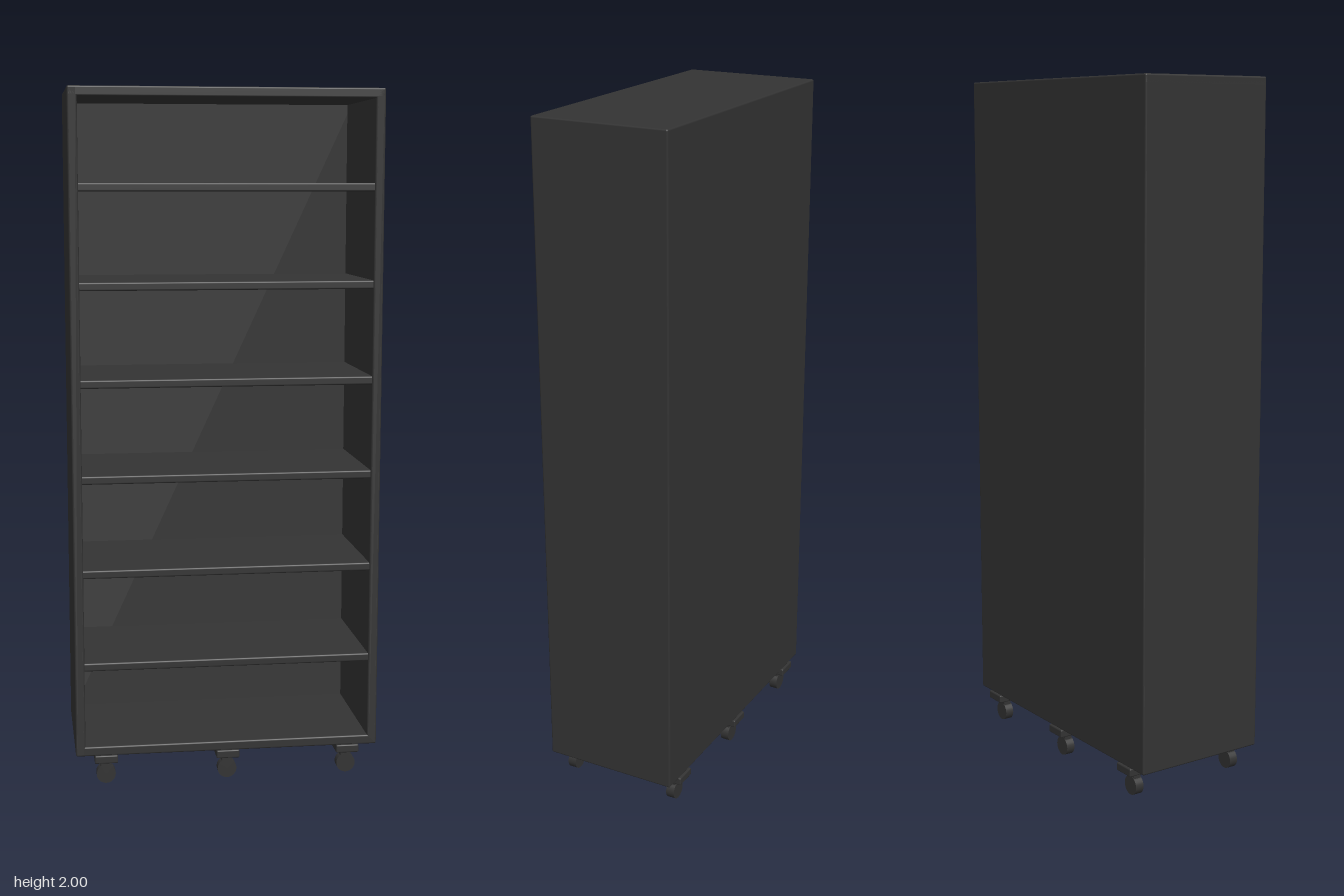
import * as THREE from 'three';
import { RoundedBoxGeometry } from 'three/addons/geometries/RoundedBoxGeometry.js';

export function createModel() {
  const model = new THREE.Group();
  model.name = 'shelfOnCasters';
  const mat = new THREE.MeshStandardMaterial({ color: 0x333333 });

  const add = (parent, name, geo, x, y, z) => {
    const mesh = new THREE.Mesh(geo, mat);
    mesh.name = name;
    mesh.position.set(x, y, z);
    parent.add(mesh);
    return mesh;
  };
  const box = (w, h, d, r = 0.005) => new RoundedBoxGeometry(w, h, d, 2, r);

  const W = 0.89, D = 0.404, BOTTOM = 0.09, TOP = 2, T = 0.028;
  const H = TOP - BOTTOM, midY = (TOP + BOTTOM) / 2;

  // Carcass: sides, top, bottom and back
  const cabinet = new THREE.Group();
  cabinet.name = 'cabinet';
  model.add(cabinet);
  for (const s of [-1, 1]) {
    add(cabinet, s > 0 ? 'leftSide' : 'rightSide', box(T, H, D), s * (W - T) / 2, midY, 0);
  }
  add(cabinet, 'topPanel', box(W, T, D), 0, TOP - T / 2, 0);
  add(cabinet, 'bottomPanel', box(W, T, D), 0, BOTTOM + T / 2, 0);
  add(cabinet, 'backPanel', box(W, H, 0.014), 0, midY, -D / 2 + 0.007);

  // Six evenly spaced shelves
  for (let i = 0; i < 6; i++) {
    add(cabinet, 'shelf', box(W - 2 * T + 0.01, 0.024, D - 0.01), 0, 0.356 + i * 0.274, 0.001);
  }

  // Three caster rails, each with a mount and a wheel at both ends
  for (const x of [-0.357, 0, 0.357]) {
    const rail = new THREE.Group();
    rail.name = 'casterRail';
    rail.position.x = x;
    model.add(rail);
    add(rail, 'railBar', box(0.022, 0.014, 0.36, 0.003), 0, 0.076, 0);
    add(rail, 'railMiddle', box(0.034, 0.026, 0.105, 0.003), 0, 0.078, 0);
    for (const s of [-1, 1]) {
      add(rail, 'mountPlate', box(0.068, 0.024, 0.065, 0.004), 0, 0.08, s * 0.176);
      add(rail, 'stem', box(0.032, 0.03, 0.024, 0.003), 0, 0.058, s * 0.17);
      const wheel = add(rail, 'wheel', new THREE.CylinderGeometry(0.028, 0.028, 0.026, 24), 0, 0.028, s * 0.17);
      wheel.rotation.x = Math.PI / 2;
    }
  }
  return model;
}
